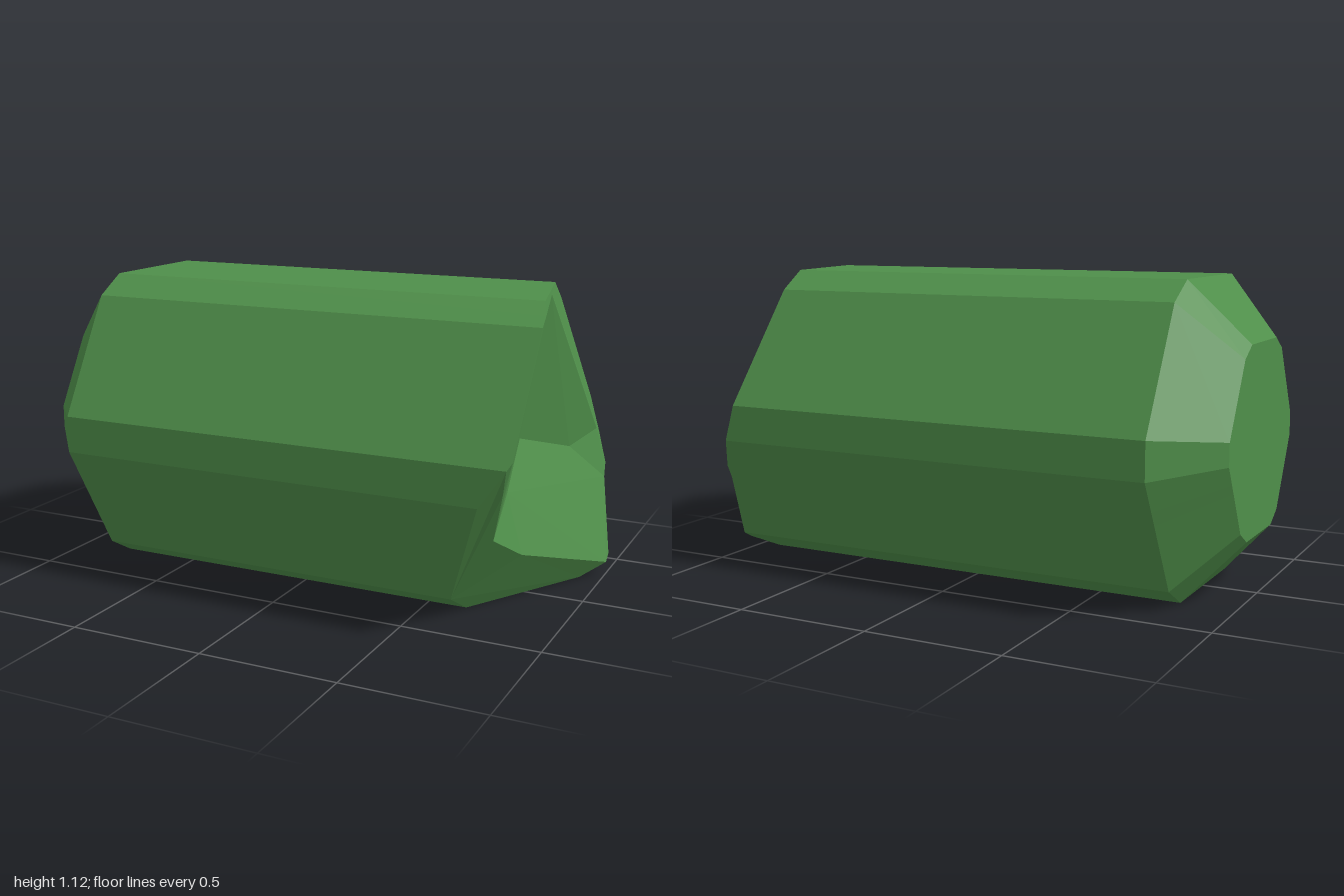
import * as THREE from 'three';

const MID = 0.5575; // height of the long axis

// Points of the broken end as [x, y, z]; the first 17 run around the rim,
// anticlockwise seen from +x, the rest lie inside it.
const RIM = 17;
const POINTS = [
  [0.89, 1.115, 0.24], [0.915, 1.075, 0.309], [0.92, 1.045, 0.36], [0.908, 0.65, 0.586],
  [0.893, 0.625, 0.6], [0.80, 0.49, 0.6], [0.628, 0.07, 0.36], [0.643, 0, 0.24],
  [0.92, 0, -0.24], [1.0, 0.047, -0.32], [0.998, 0.07, -0.36], [0.93, 0.33, -0.508],
  [0.925, 0.38, -0.537], [0.877, 0.49, -0.6], [0.838, 0.625, -0.6], [0.77, 1.045, -0.36],
  [0.78, 1.115, -0.24],
  [0.868, 0.53, 0.55], [0.79, 0.32, 0.40], [0.825, 0.21, 0.19], [0.824, 1.10, -0.05],
  [0.733, 0.57, -0.03], [0.755, 0.42, 0.16], [0.89, 0.52, -0.51], [0.832, 0.48, -0.34],
];

// Facets of the broken end
const FACETS = [
  [3, 4, 5, 6, 7, 8, 9, 19, 18, 17],
  [1, 2, 3, 17, 18, 22, 21, 20],
  [20, 21, 24, 23],
  [0, 1, 20, 23, 12, 13, 14, 15, 16],
  [22, 19, 9, 10, 11, 24, 21],
  [18, 19, 22],
  [23, 24, 11, 12],
];

function facetMesh(name, triangles, material) {
  const geometry = new THREE.BufferGeometry();
  geometry.setAttribute('position', new THREE.Float32BufferAttribute(triangles.flat(2), 3));
  geometry.computeVertexNormals();
  const mesh = new THREE.Mesh(geometry, material);
  mesh.name = name;
  return mesh;
}

// Band of flat quads between two rings
function band(a, b) {
  return a.flatMap((p, i) => {
    const j = (i + 1) % a.length;
    return [[p, a[j], b[j]], [p, b[j], b[i]]];
  });
}

export function createModel() {
  const green = new THREE.MeshStandardMaterial({ color: 0x4f8f4a });
  green.name = 'green';
  green.flatShading = true;

  const rim = POINTS.slice(0, RIM);
  const ring = (x, s) => rim.map(([, y, z]) => [x, MID + (y - MID) * s, z * s]);
  const shoulder = ring(-0.8, 1);
  const tip = ring(-1, 0.61);

  // Closed end: sloping bevel and flat cap
  const cap = tip.map((p, i) => [[-1, MID, 0], tip[(i + 1) % RIM], p]);

  // Broken end: each facet triangulated in the plane seen from +x
  const broken = FACETS.flatMap((facet) => {
    const outline = facet.map((i) => new THREE.Vector2(-POINTS[i][2], POINTS[i][1]));
    return THREE.ShapeUtils.triangulateShape(outline, [])
      .map((tri) => tri.map((k) => POINTS[facet[k]]));
  });

  const model = new THREE.Group();
  model.name = 'brokenPrism';
  model.add(
    facetMesh('shaft', band(shoulder, rim), green),
    facetMesh('bevelledEnd', [...band(tip, shoulder), ...cap], green),
    facetMesh('brokenEnd', broken, green),
  );
  return model;
}
